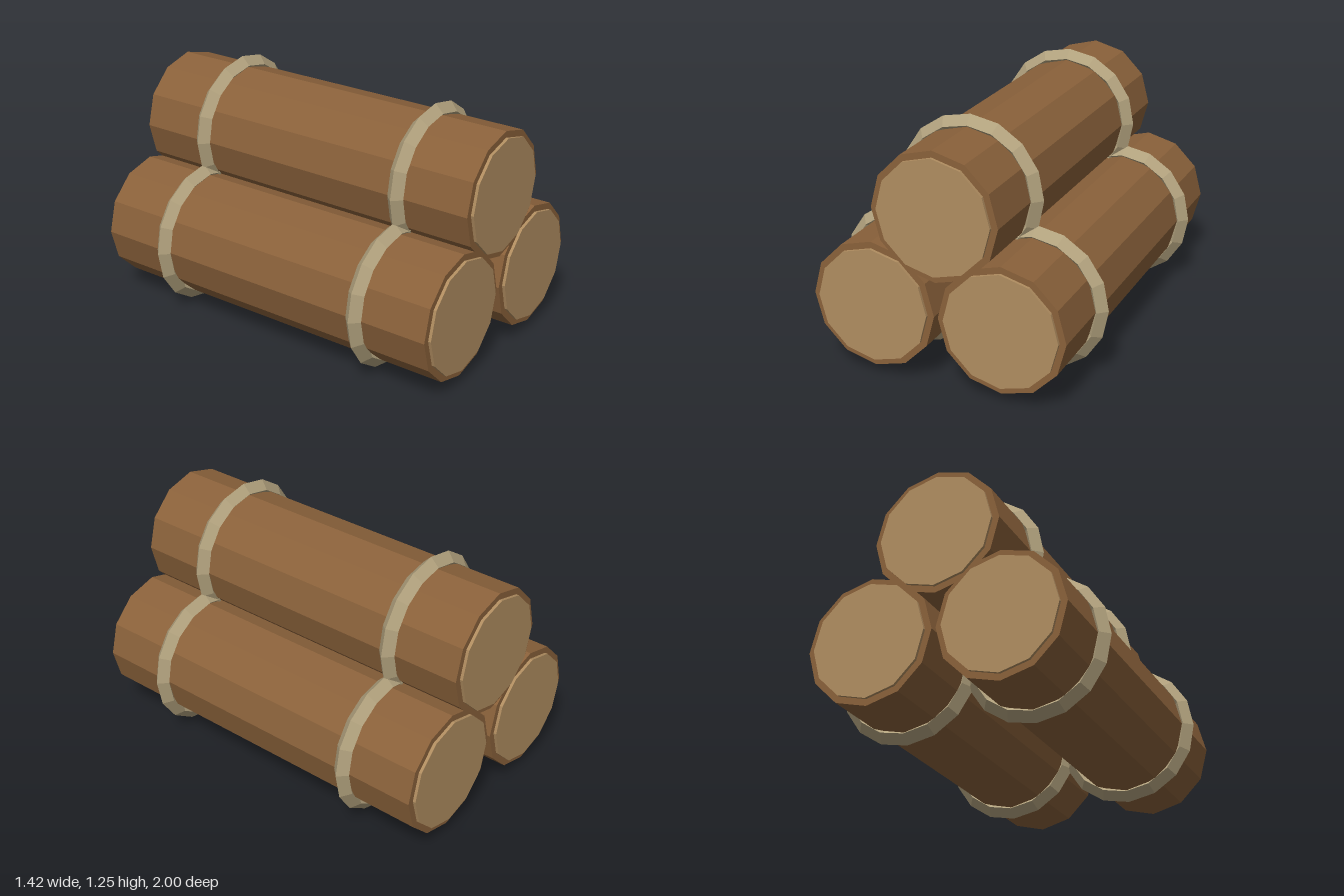
import * as THREE from 'three';

export function createModel() {
  const material = (name, color) => {
    const m = new THREE.MeshStandardMaterial({ color, flatShading: true });
    m.name = name;
    return m;
  };
  const bark = material('bark brown', 0x8a613a);
  const cutWood = material('cut wood tan', 0xb08d60);
  const rope = material('rope beige', 0xb1a17d);

  // Twelve-sided log lying along z, with a slightly smaller raised cut at each end
  const logGeometry = new THREE.CylinderGeometry(0.323, 0.323, 1.97, 12).rotateX(Math.PI / 2);
  const endGeometry = new THREE.CylinderGeometry(0.29, 0.29, 0.02, 12).rotateX(Math.PI / 2);
  // Diamond-section binding ring
  const ringGeometry = new THREE.TorusGeometry(0.33, 0.045, 4, 16);

  const add = (parent, name, geometry, mat, z) => {
    const mesh = new THREE.Mesh(geometry, mat);
    mesh.name = name;
    mesh.position.z = z;
    parent.add(mesh);
  };

  const model = new THREE.Group();
  model.name = 'logStack';

  // Two logs below, one resting on top
  const places = [
    ['rightLog', -0.333, 0.375],
    ['leftLog', 0.333, 0.375],
    ['topLog', 0, 0.876],
  ];
  for (const [name, x, y] of places) {
    const log = new THREE.Group();
    log.name = name;
    log.position.set(x, y, 0);
    add(log, 'trunk', logGeometry, bark, 0);
    for (const side of [1, -1]) {
      const label = side > 0 ? 'front' : 'back';
      add(log, label + 'CutEnd', endGeometry, cutWood, side * 0.99);
      add(log, label + 'Binding', ringGeometry, rope, side * 0.597);
    }
    model.add(log);
  }
  return model;
}
